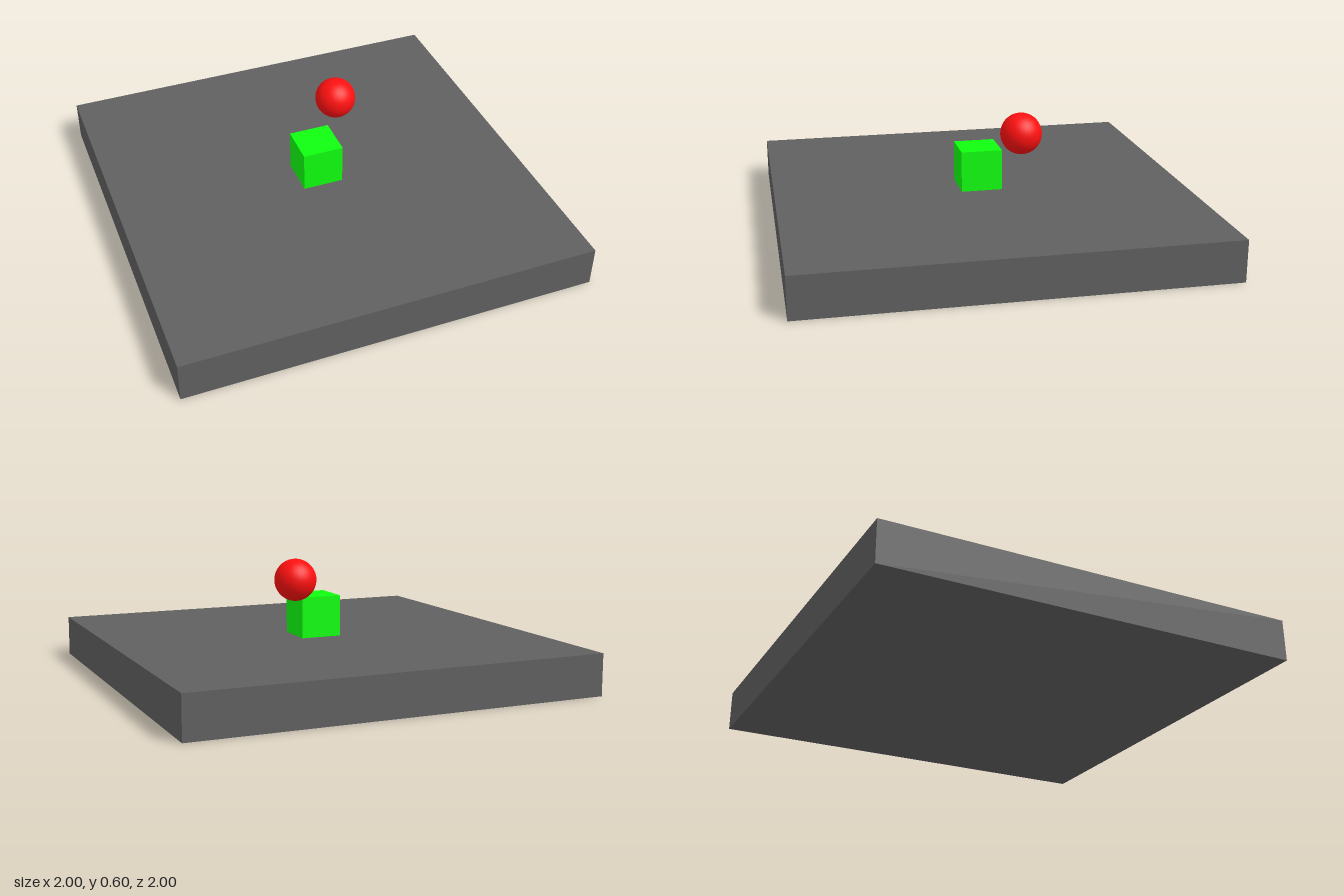
import * as THREE from 'three';

export function createModel() {
  const model = new THREE.Group();

  const add = (name, geometry, color, x, y, z) => {
    const mesh = new THREE.Mesh(geometry, new THREE.MeshStandardMaterial({ color }));
    mesh.name = name;
    mesh.position.set(x, y, z);
    model.add(mesh);
  };

  // Square slab, standing on the ground
  add('floorSlab', new THREE.BoxGeometry(2, 0.2, 2), 0x606060, 0, 0.1, 0);

  // Small cube resting at the middle of the slab
  add('cube', new THREE.BoxGeometry(0.2, 0.2, 0.2), 0x10ff10, 0, 0.3, 0);

  // Ball floating behind the cube
  add('ball', new THREE.SphereGeometry(0.1, 32, 32), 0xff1010, 0.17, 0.5, -0.177);

  return model;
}
